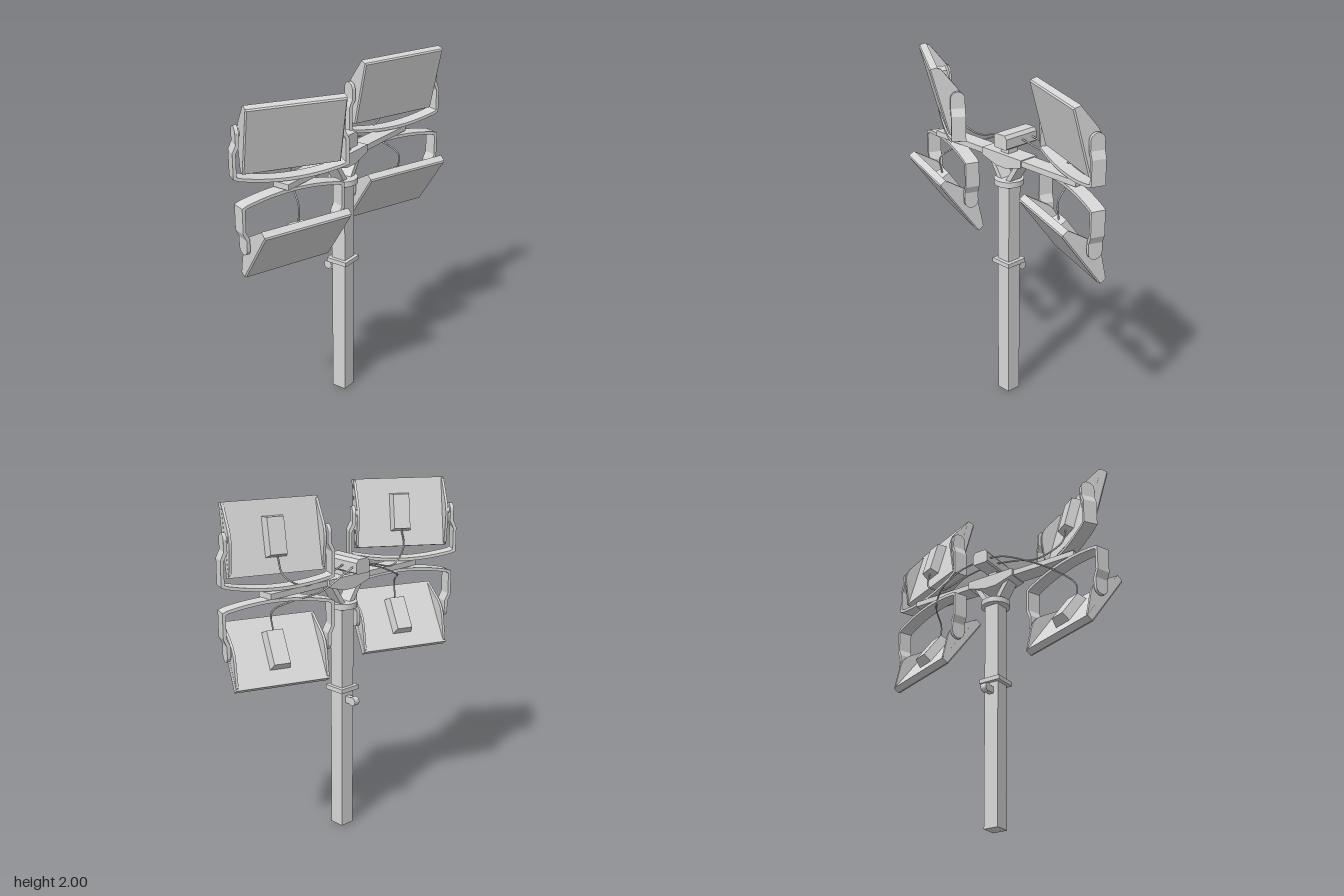
import * as THREE from 'three';

const metal = new THREE.MeshStandardMaterial({ color: 0xd6d6d6 });
metal.name = 'light grey metal';
const AXIS = -0.035; // x of the mast

function add(parent, name, geometry, x = 0, y = 0, z = 0) {
  const mesh = new THREE.Mesh(geometry, metal);
  mesh.name = name;
  mesh.position.set(x, y, z);
  parent.add(mesh);
  return mesh;
}

// Extrudes a (z, y) outline along x, centred on x = 0
function extrudeX(points, width) {
  const shape = new THREE.Shape(points.map(([z, y]) => new THREE.Vector2(-z, y)));
  const g = new THREE.ExtrudeGeometry(shape, { depth: width, bevelEnabled: false });
  g.translate(0, 0, -width / 2);
  return g.rotateY(Math.PI / 2);
}

// Box whose face on one side (picked by test) shrinks in y and z
function taperedBox(w, h, d, test, sy, sz) {
  const g = new THREE.BoxGeometry(w, h, d).toNonIndexed();
  const p = g.attributes.position;
  for (let i = 0; i < p.count; i++) {
    if (test(p.getX(i))) p.setXYZ(i, p.getX(i), p.getY(i) * sy, p.getZ(i) * sz);
  }
  g.computeVertexNormals();
  return g;
}

// U-shaped strap: a shallow arc with two cranked arms; dir is 1 upwards, -1 downwards
function bracketGeometry(dir) {
  const outer = [], inner = [], t = 0.018;
  for (let i = 0; i <= 8; i++) {
    const z = 0.29 * i / 8, y = 0.034 * (i / 8) ** 2;
    outer.push([z, y]);
    inner.push([z, y + t]);
  }
  outer.push([0.318, 0.045], [0.318, 0.19], [0.299, 0.232], [0.299, 0.29]);
  inner.push([0.3, 0.06], [0.3, 0.184], [0.279, 0.227], [0.279, 0.29]);
  const mirror = (a) => a.slice(1).reverse().map(([z, y]) => [-z, y]);
  const line = [...mirror(outer), ...outer, ...inner.slice().reverse(), ...mirror(inner).reverse()];
  return extrudeX(line.map(([z, y]) => [z, y * dir]), 0.082);
}

// Side cheek that carries the hinge
const cheekOutline = [[0.05, -0.192], [0.05, 0.192], [0.035, 0.185], [-0.025, 0.05],
  [-0.033, 0.02], [-0.033, -0.02], [-0.025, -0.05], [0.035, -0.185]];

// Floodlight with its bracket, facing local +x; returns the cable socket position
function floodlight(parent, name, z, dir, yaw, tilt, reach) {
  const unit = new THREE.Group();
  unit.name = name;
  unit.position.set(-0.03, dir > 0 ? 1.535 : 1.49, z);
  unit.rotation.y = -yaw;
  parent.add(unit);
  add(unit, 'bracket', bracketGeometry(dir));

  const lamp = new THREE.Group();
  lamp.name = 'lamp';
  lamp.position.y = dir * 0.286;
  lamp.rotation.z = -tilt;
  unit.add(lamp);

  // Flat housing with a slightly chamfered front
  add(lamp, 'lampHousing', new THREE.BoxGeometry(0.04, 0.396, 0.54), 0.062 + reach);
  add(lamp, 'lampFace', taperedBox(0.008, 0.396, 0.54, (x) => x > 0, 0.965, 0.975), 0.086 + reach);

  // Driver box on the back
  add(lamp, 'driverBox', taperedBox(0.064, 0.22, 0.12, (x) => x < 0, 0.9, 0.78), 0.018 + reach);

  // Cheeks and hinges
  for (const s of [-1, 1]) {
    const shape = new THREE.Shape(cheekOutline.map(([x, y]) => new THREE.Vector2(x, y)));
    const cheek = new THREE.ExtrudeGeometry(shape, { depth: 0.014, bevelEnabled: false });
    add(lamp, 'cheek', cheek, reach / 2, 0, s * 0.262 - 0.007);
    const disc = new THREE.CylinderGeometry(0.041, 0.041, 0.02, 24).rotateX(Math.PI / 2);
    add(lamp, 'hingeDisc', disc, 0, 0, s * 0.289);
    const pin = new THREE.CylinderGeometry(0.02, 0.02, 0.03, 16).rotateX(Math.PI / 2);
    add(lamp, 'hingePin', pin, 0, 0, s * 0.27);
  }
  parent.updateMatrixWorld(true);
  return lamp.localToWorld(new THREE.Vector3(0.015 + reach, -dir * 0.1, 0));
}

function cable(parent, start, points) {
  const path = new THREE.CatmullRomCurve3([start, ...points.map((p) => new THREE.Vector3(...p))]);
  add(parent, 'cable', new THREE.TubeGeometry(path, 40, 0.005, 6));
}

export function createModel() {
  const model = new THREE.Group();
  model.name = 'floodlightMast';

  // Mast with collars
  add(model, 'pole', new THREE.BoxGeometry(0.09, 1.36, 0.09), AXIS, 0.68, 0);
  add(model, 'poleCollar', new THREE.BoxGeometry(0.134, 0.026, 0.134), AXIS, 0.863, 0);
  add(model, 'topFlange', new THREE.CylinderGeometry(0.085, 0.085, 0.033, 32), AXIS, 1.362, 0);

  // Side knob
  const knob = new THREE.Group();
  knob.name = 'sideKnob';
  knob.position.set(-0.08, 0.8, 0);
  model.add(knob);
  add(knob, 'knobStem', new THREE.BoxGeometry(0.05, 0.04, 0.03), -0.02);
  add(knob, 'knobEnd', new THREE.CylinderGeometry(0.026, 0.026, 0.036, 16).rotateX(Math.PI / 2), -0.053);

  // Hub, struts and crossbar
  add(model, 'hub', extrudeX([[-0.155, 1.536], [0.155, 1.536], [0.155, 1.492], [0.04, 1.458],
    [-0.04, 1.458], [-0.155, 1.492]], 0.125), AXIS);
  add(model, 'crossbar', new THREE.BoxGeometry(0.1, 0.033, 1.12), -0.03, 1.514, 0);
  for (const s of [-1, 1]) {
    add(model, 'strut', extrudeX([[s * 0.12, 1.483], [s * 0.075, 1.465], [s * 0.015, 1.375],
      [s * 0.05, 1.375]], 0.085), AXIS);
  }

  // Junction box on a neck
  add(model, 'neck', new THREE.BoxGeometry(0.07, 0.04, 0.06), AXIS, 1.552, 0);
  add(model, 'junctionBox', extrudeX([[-0.042, 1.567], [0.042, 1.567], [0.05, 1.575], [0.05, 1.63],
    [0.035, 1.65], [-0.035, 1.65], [-0.05, 1.63], [-0.05, 1.575]], 0.235), -0.083);

  // Four floodlights and their cables
  const deg = Math.PI / 180;
  for (const s of [-1, 1]) {
    const side = s > 0 ? 'front' : 'back';
    const up = floodlight(model, side + 'UpperFloodlight', s > 0 ? 0.482 : -0.477, 1,
      (s > 0 ? 33.5 : 21) * deg, 15 * deg, s > 0 ? 0.014 : -0.01);
    cable(model, up, [[up.x - 0.03, 1.62, up.z - s * 0.01], [-0.1, 1.54, s * 0.34],
      [-0.105, 1.57, s * 0.19], [-0.09, 1.605, s * 0.045]]);
    const low = floodlight(model, side + 'LowerFloodlight', s > 0 ? 0.48 : -0.478, -1, 20 * deg, 36 * deg, -0.006);
    cable(model, low, [[low.x + 0.01, 1.385, low.z], [-0.06, 1.455, s * 0.42],
      [-0.17, 1.51, s * 0.29], [-0.185, 1.57, s * 0.16], [-0.168, 1.605, s * 0.045]]);
  }
  return model;
}
